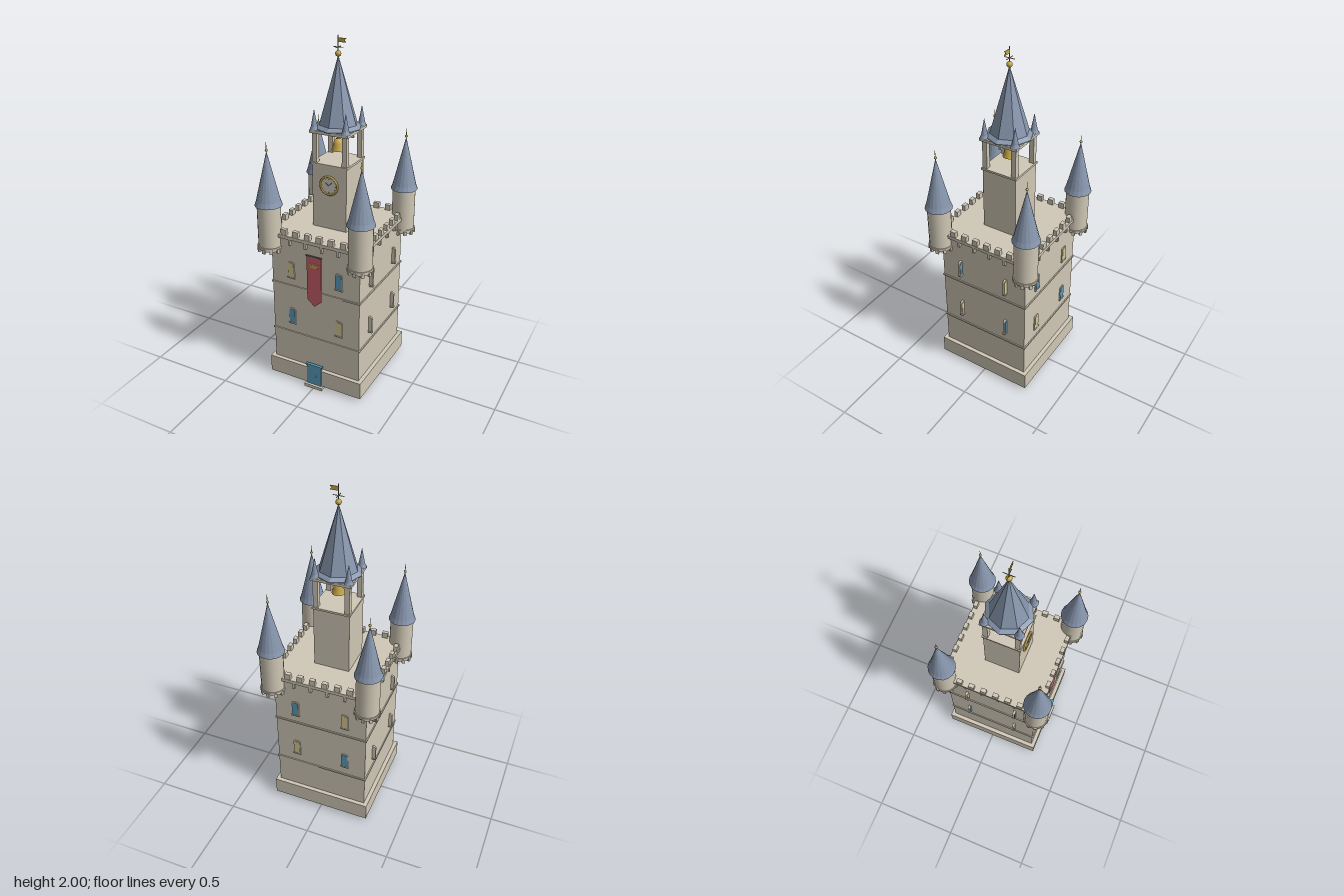
import * as THREE from 'three';

const mat = (name, color, extra = {}) => {
  const m = new THREE.MeshStandardMaterial({ color, ...extra });
  m.name = name;
  return m;
};

export function createModel() {
  const stone = mat('stone', 0xd0c8b6);
  const slate = mat('slate', 0x8796ad, { flatShading: true });
  const gold = mat('gold', 0xc4a648);
  const blue = mat('blueGlass', 0x5a9cbe);
  const lit = mat('litGlass', 0xd6c894);
  const red = mat('bannerRed', 0xc85f6a, { side: THREE.DoubleSide });
  const iron = mat('iron', 0x6a7078);
  const pale = mat('clockFace', 0xd2cec2);

  const root = new THREE.Group();
  root.name = 'castleTower';

  const add = (name, geo, material, x = 0, y = 0, z = 0, parent = root) => {
    const m = new THREE.Mesh(geo, material);
    m.name = name;
    m.position.set(x, y, z);
    parent.add(m);
    return m;
  };
  // box given by its bottom height
  const box = (name, w, h, d, material, x, y, z, parent) =>
    add(name, new THREE.BoxGeometry(w, h, d), material, x, y + h / 2, z, parent);
  const lathe = (pts, sides) =>
    new THREE.LatheGeometry(pts.map(p => new THREE.Vector2(...p)), sides);
  const plate = (shape, depth) =>
    new THREE.ExtrudeGeometry(shape, { depth, bevelEnabled: false, curveSegments: 8 });
  const polygon = pts => new THREE.Shape(pts.map(p => new THREE.Vector2(...p)));
  const corners = [[-1, -1], [1, -1], [-1, 1], [1, 1]];

  // Keep: plinth, walls and string courses
  box('doorStep', 0.114, 0.02, 0.04, stone, 0, 0, 0.298);
  box('plinth', 0.596, 0.105, 0.596, stone, 0, 0.02, 0);
  box('keepWalls', 0.55, 0.82, 0.55, stone, 0, 0.12, 0);
  for (const y of [0.32, 0.63]) box('stringCourse', 0.562, 0.01, 0.562, stone, 0, y, 0);
  box('roofDeck', 0.594, 0.02, 0.594, stone, 0, 0.934, 0);

  // Battlements and the corbels under the deck, on four sides
  for (let s = 0; s < 4; s++) {
    const side = new THREE.Group();
    side.name = 'battlementSide';
    side.rotation.y = s * Math.PI / 2;
    root.add(side);
    for (let i = 0; i < 6; i++)
      box('merlon', 0.033, 0.034, 0.023, stone, (i - 2.5) * 0.073, 0.954, 0.2835, side);
    for (let i = 0; i < 4; i++)
      box('corbel', 0.014, 0.038, 0.025, stone, (i - 1.5) * 0.1, 0.897, 0.28, side);
  }

  // Arched windows
  const arch = (w, h) => {
    const s = new THREE.Shape();
    s.moveTo(-w / 2, 0);
    s.lineTo(w / 2, 0);
    s.lineTo(w / 2, h - w / 4);
    s.quadraticCurveTo(w / 2, h, 0, h);
    s.quadraticCurveTo(-w / 2, h, -w / 2, h - w / 4);
    return s;
  };
  const frameGeo = plate(arch(0.042, 0.098), 0.012);
  const paneGeo = plate(arch(0.034, 0.088), 0.003);
  const addWindow = (x, y, z, turn, glass) => {
    const g = new THREE.Group();
    g.name = 'window';
    g.position.set(x, y, z);
    g.rotation.y = turn;
    root.add(g);
    add('windowFrame', frameGeo, stone, 0, 0, -0.006, g);
    add('windowPane', paneGeo, glass, 0, 0.005, 0.005, g);
    box('windowSill', 0.048, 0.008, 0.018, stone, 0, -0.004, 0, g);
  };
  for (const [row, y] of [[0, 0.39], [1, 0.69]])
    for (const s of [-1, 1]) {
      const glass = (row === 1) === (s === 1) ? blue : lit;
      addWindow(s * 0.15, y, 0.275, 0, glass);
      addWindow(s * 0.15, y, -0.275, Math.PI, glass);
      // side windows stand out from the wall like fins
      addWindow(-0.275, y, s * 0.15, 0, glass);
      addWindow(0.275, y, s * 0.15, Math.PI, glass);
    }

  // Door
  box('door', 0.094, 0.13, 0.012, blue, 0, 0.02, 0.298);
  box('doorLintel', 0.106, 0.008, 0.016, blue, 0, 0.148, 0.298);
  add('doorKnob', new THREE.SphereGeometry(0.004, 8, 6), gold, 0.012, 0.08, 0.305);

  // Banner with a small crown
  add('banner', plate(polygon([[-0.045, 0.86], [-0.045, 0.585], [0, 0.545], [0.045, 0.585], [0.045, 0.86]]), 0.004),
    red, 0, 0, 0.281);
  add('bannerRod', new THREE.CylinderGeometry(0.004, 0.004, 0.1, 8), iron, 0, 0.86, 0.283).rotation.z = Math.PI / 2;
  add('bannerCrown', plate(polygon([[-0.022, 0.79], [0.022, 0.79], [0.026, 0.818], [0.012, 0.804],
    [0, 0.82], [-0.012, 0.804], [-0.026, 0.818]]), 0.002), gold, 0, 0, 0.285);

  // Corner turrets
  for (const [sx, sz] of corners) {
    const t = new THREE.Group();
    t.name = 'cornerTurret';
    t.position.set(sx * 0.28, 0, sz * 0.28);
    root.add(t);
    add('turretWall', new THREE.CylinderGeometry(0.066, 0.066, 0.27, 18), stone, 0, 0.985, 0, t);
    add('turretRing', new THREE.CylinderGeometry(0.071, 0.071, 0.014, 18), stone, 0, 0.866, 0, t);
    for (let i = 0; i < 10; i++) {
      const a = i / 10 * Math.PI * 2;
      box('turretCorbel', 0.018, 0.024, 0.014, stone, Math.sin(a) * 0.066, 0.84, Math.cos(a) * 0.066, t).rotation.y = a;
    }
    add('turretRoof', lathe([[0, 1.112], [0.077, 1.112], [0.067, 1.14], [0, 1.42]], 18), slate, 0, 0, 0, t);
    add('turretBall', new THREE.SphereGeometry(0.008, 12, 8), gold, 0, 1.424, 0, t);
    add('turretSpike', new THREE.CylinderGeometry(0.001, 0.0025, 0.04, 6), gold, 0, 1.448, 0, t);
  }

  // Central tower and open belfry
  box('towerWalls', 0.208, 0.375, 0.208, stone, 0, 0.95, 0);
  box('belfryFloor', 0.22, 0.012, 0.22, stone, 0, 1.32, 0);
  for (const [sx, sz] of corners) {
    box('belfryPost', 0.028, 0.17, 0.028, stone, sx * 0.09, 1.33, sz * 0.09);
    add('pinnacle', lathe([[0, 1.512], [0.026, 1.512], [0.018, 1.53], [0, 1.625]], 12), slate, sx * 0.094, 0, sz * 0.094);
  }
  box('belfryCeiling', 0.23, 0.016, 0.23, stone, 0, 1.498, 0);
  box('bellBeam', 0.19, 0.012, 0.012, stone, 0, 1.468, 0);
  const bellMat = gold.clone();
  bellMat.name = 'bellGold';
  bellMat.side = THREE.DoubleSide;
  add('bell', lathe([[0.038, 1.386], [0.033, 1.396], [0.026, 1.425], [0.02, 1.445], [0, 1.452]], 16), bellMat);
  add('bellHanger', new THREE.CylinderGeometry(0.006, 0.006, 0.025, 8), gold, 0, 1.46, 0);
  add('bellClapper', new THREE.SphereGeometry(0.007, 8, 6), iron, 0, 1.387, 0);

  // Clock on the front
  add('clockFace', new THREE.CylinderGeometry(0.053, 0.053, 0.008, 28), pale, 0, 1.213, 0.107).rotation.x = Math.PI / 2;
  add('clockRim', new THREE.TorusGeometry(0.052, 0.006, 8, 28), gold, 0, 1.213, 0.109);
  for (let i = 0; i < 12; i++) {
    const a = i * Math.PI / 6;
    add('hourMark', new THREE.BoxGeometry(0.002, 0.007, 0.002), iron,
      Math.sin(a) * 0.04, 1.213 + Math.cos(a) * 0.04, 0.111).rotation.z = -a;
  }
  for (const [len, a] of [[0.024, -0.9], [0.034, 0.7]])
    add('clockHand', new THREE.BoxGeometry(0.004, len, 0.002), iron,
      Math.sin(a) * len / 2, 1.213 + Math.cos(a) * len / 2, 0.112).rotation.z = -a;

  // Eight-sided spire
  add('spire', lathe([[0, 1.512], [0.13, 1.514], [0.13, 1.519], [0.107, 1.536], [0, 1.9]], 8), slate);

  // Finial and weather vane
  add('finialBall', new THREE.SphereGeometry(0.016, 16, 10), gold, 0, 1.906, 0);
  add('vaneRod', new THREE.CylinderGeometry(0.0025, 0.0025, 0.1, 6), iron, 0, 1.95, 0);
  box('vaneArmX', 0.06, 0.003, 0.003, gold, 0, 1.938, 0);
  box('vaneArmZ', 0.003, 0.003, 0.06, gold, 0, 1.938, 0);
  add('vaneFlag', plate(polygon([[0, 1.965], [0.046, 1.965], [0.036, 1.976], [0.046, 1.987], [0, 1.987]]), 0.004),
    gold, 0, 0, -0.002);

  return root;
}
